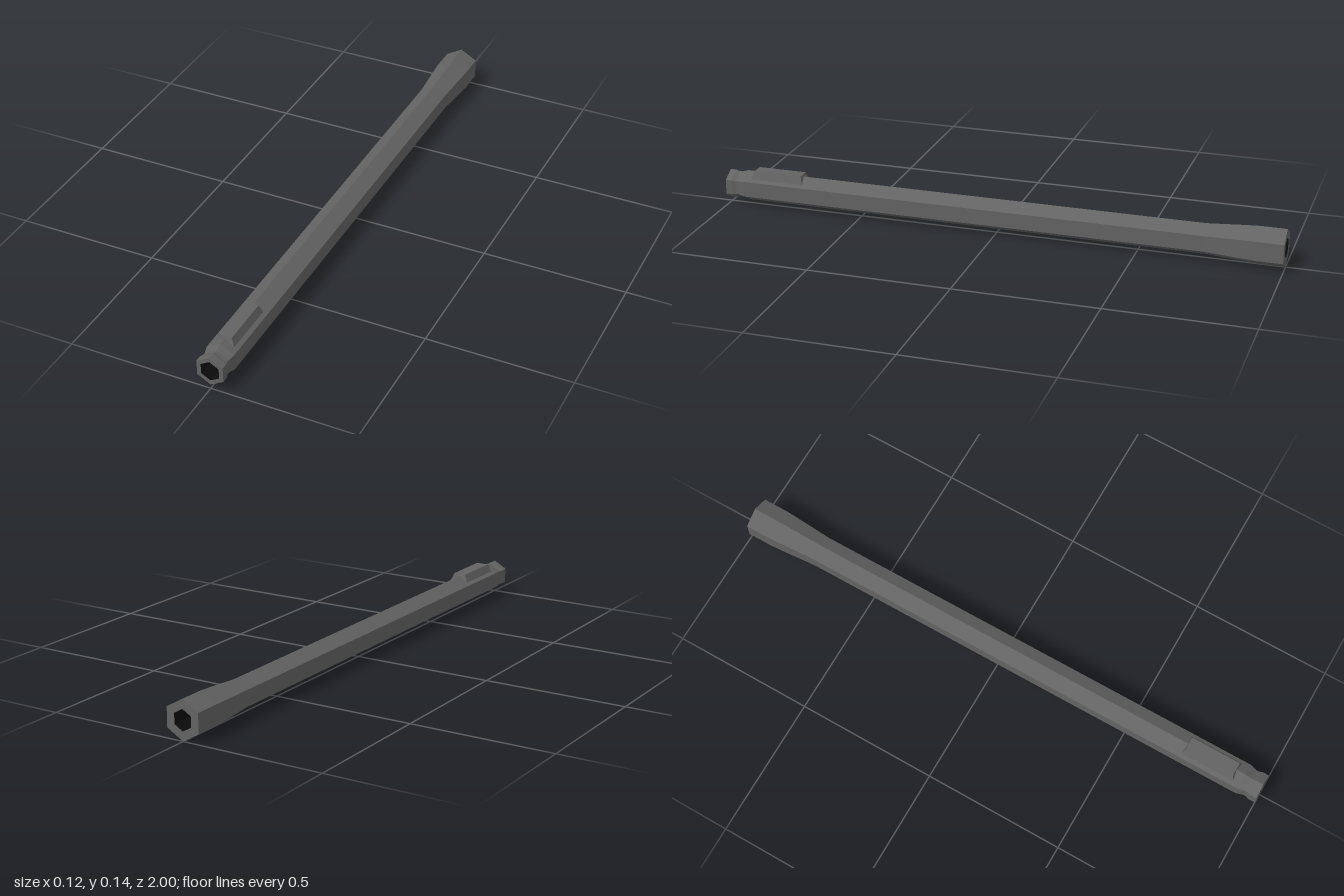
import * as THREE from 'three';

const CENTER_Y = 0.068;

// Six-sided profile swept around the z axis, pairs of [radius, z], facet normals
function hexSweep(name, profile, material) {
  const points = profile.map(([r, z]) => new THREE.Vector2(r, z));
  const geometry = new THREE.LatheGeometry(points, 6).rotateX(Math.PI / 2).toNonIndexed();
  geometry.computeVertexNormals();
  const mesh = new THREE.Mesh(geometry, material);
  mesh.name = name;
  mesh.position.y = CENTER_Y;
  return mesh;
}

export function createModel() {
  const gunmetal = new THREE.MeshStandardMaterial({ color: 0x636363 });
  gunmetal.name = 'dark grey metal';
  const black = new THREE.MeshStandardMaterial({ color: 0x0c0c0c });
  black.name = 'black bore';

  const group = new THREE.Group();
  group.name = 'hexagonalTube';
  const bore = 0.036;

  // Tube with flared back end and grooved front collar
  group.add(hexSweep('tube', [
    [bore, -1], [0.068, -1], [0.068, -0.91], [0.065, -0.86], [0.0555, -0.73],
    [0.0555, 0.93], [0.048, 0.955], [0.048, 0.965], [0.0525, 0.978], [0.0525, 1], [bore, 1],
  ], gunmetal));

  // Dark recesses at both ends
  group.add(hexSweep('frontBore', [[bore, 1], [bore, 0.9], [0, 0.9]], black));
  group.add(hexSweep('backBore', [[0, -0.9], [bore, -0.9], [bore, -1]], black));

  // Raised block on top, tapered towards its upper face
  const y0 = 0.1, y1 = 0.131;
  const block = new THREE.BoxGeometry(2, 1, 2);
  const p = block.attributes.position;
  for (let i = 0; i < p.count; i++) {
    const top = p.getY(i) > 0;
    p.setXYZ(i, p.getX(i) * (top ? 0.023 : 0.036), top ? y1 : y0,
      0.808 + p.getZ(i) * (top ? 0.089 : 0.098));
  }
  const flatBlock = block.toNonIndexed();
  flatBlock.computeVertexNormals();
  const rail = new THREE.Mesh(flatBlock, gunmetal);
  rail.name = 'topBlock';
  group.add(rail);

  return group;
}
